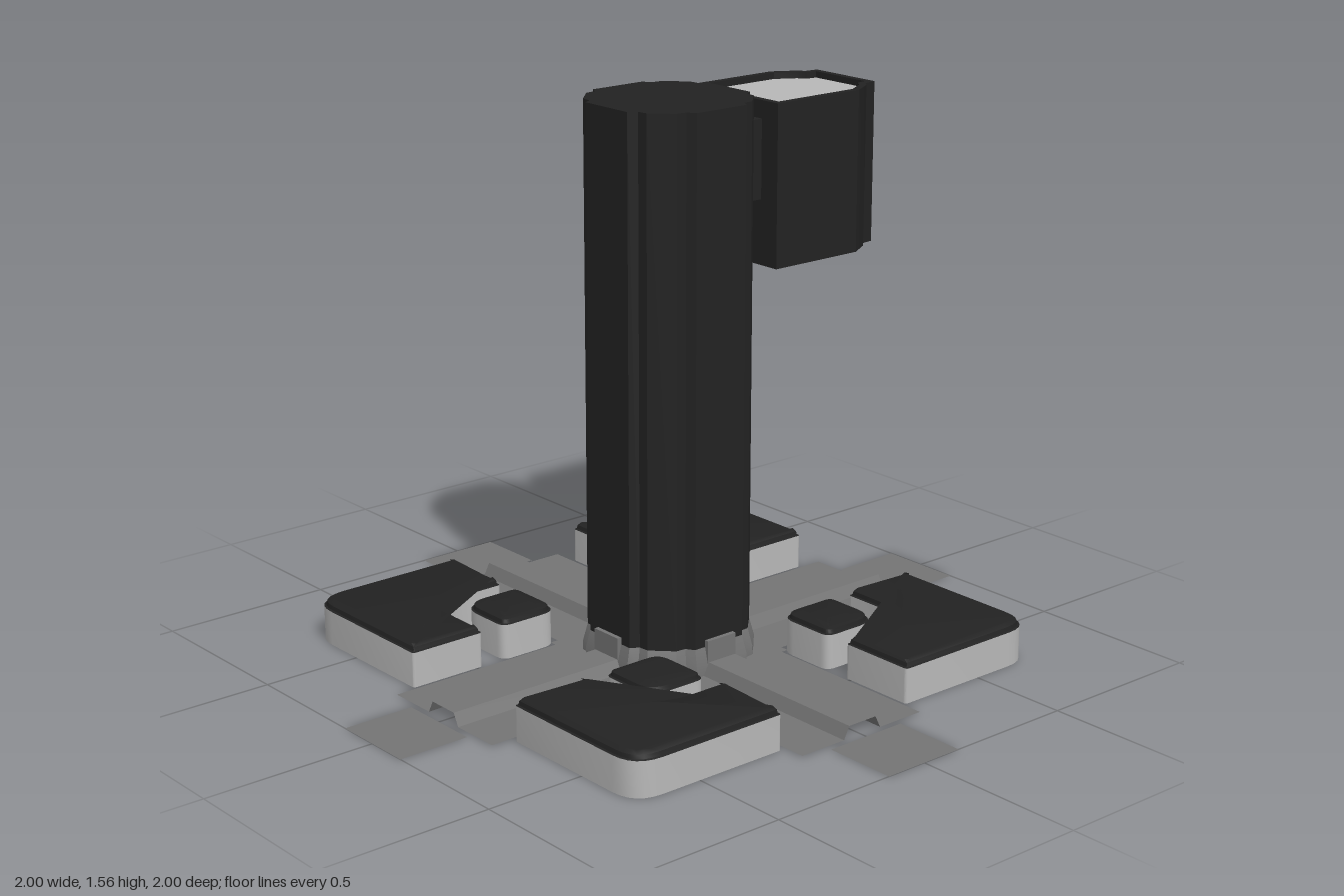
import * as THREE from 'three';
import { toCreasedNormals } from 'three/addons/utils/BufferGeometryUtils.js';

const mat = (name, color) => {
  const m = new THREE.MeshStandardMaterial({ color, side: THREE.DoubleSide });
  m.name = name;
  return m;
};

// Plan outline [x, z] from corners [x, z, radius]
function rounded(corners) {
  const out = [];
  corners.forEach(([x, z, r = 0], i) => {
    if (!r) { out.push([x, z]); return; }
    const c = new THREE.Vector2(x, z);
    const toward = (k) => {
      const [px, pz] = corners[(k + corners.length) % corners.length];
      return new THREE.Vector2(px, pz).sub(c).setLength(r).add(c);
    };
    const curve = new THREE.QuadraticBezierCurve(toward(i - 1), c, toward(i + 1));
    curve.getPoints(6).forEach((p) => out.push([p.x, p.y]));
  });
  return out;
}

// Shrink an outline by mitring each corner
function inset(pts, d) {
  const n = pts.length;
  const normal = (a, b) => new THREE.Vector2(a[1] - b[1], b[0] - a[0]).normalize();
  return pts.map((p, i) => {
    const a = normal(pts[(i + n - 1) % n], p), b = normal(p, pts[(i + 1) % n]);
    const k = d / (1 + a.dot(b));
    return [p[0] + (a.x + b.x) * k, p[1] + (a.y + b.y) * k];
  });
}

const level = (pts, y) => pts.map(([x, z]) => [x, y, z]);

function fromTriangles(pos) {
  const g = new THREE.BufferGeometry();
  g.setAttribute('position', new THREE.Float32BufferAttribute(pos, 3));
  return toCreasedNormals(g, 0.5);
}

// Skin between successive rings, optionally capped at top and bottom
function loft(rings, { closed = true, top = false, bottom = false } = {}) {
  const pos = [];
  for (let k = 0; k + 1 < rings.length; k++) {
    const a = rings[k], b = rings[k + 1], n = a.length;
    for (let i = 0; i < (closed ? n : n - 1); i++) {
      const j = (i + 1) % n;
      pos.push(...a[i], ...b[j], ...a[j], ...a[i], ...b[i], ...b[j]);
    }
  }
  const cap = (ring, up) => {
    const flat = ring.map((p) => new THREE.Vector2(p[0], p[2]));
    for (const [a, b, c] of THREE.ShapeUtils.triangulateShape(flat, [])) {
      pos.push(...ring[a], ...ring[up ? c : b], ...ring[up ? b : c]);
    }
  };
  if (top) cap(rings[rings.length - 1], true);
  if (bottom) cap(rings[0], false);
  return fromTriangles(pos);
}

export function createModel() {
  const black = mat('black', 0x222222);
  const grey = mat('road grey', 0x747474);
  const light = mat('light grey', 0xb8b8b8);
  const model = new THREE.Group();
  model.name = 'columnAtCrossroads';

  const add = (parent, name, geometry, material) => {
    const mesh = new THREE.Mesh(geometry, material);
    mesh.name = name;
    parent.add(mesh);
    return mesh;
  };

  // Fluted column: one quarter outline turned four times
  const quarter = [[0.212, -0.085], [0.212, 0.085], [0.188, 0.1], [0.185, 0.13], [0.13, 0.185], [0.1, 0.188]];
  const section = [];
  for (let q = 0; q < 4; q++) {
    const c = Math.round(Math.cos(q * Math.PI / 2)), s = Math.round(Math.sin(q * Math.PI / 2));
    quarter.forEach(([x, z]) => section.push([x * c - z * s, x * s + z * c]));
  }
  add(model, 'column', loft([level(section, 0.08), level(section, 1.56)], { top: true }), black);

  // Collar at the column foot
  const foot = section.map(([x, z]) => [x * 1.06, z * 1.06]);
  add(model, 'collar', loft([level(foot, 0.002), level(foot, 0.03), level(section, 0.08)]), grey);

  // Crossing floor with an opening under the column
  const floor = new THREE.Shape([[-1, -1], [1, -1], [1, 1], [-1, 1]].map(([x, z]) => new THREE.Vector2(x * 0.235, z * 0.235)));
  floor.holes.push(new THREE.Path(foot.map(([x, z]) => new THREE.Vector2(x, z))));
  add(model, 'crossingFloor', new THREE.ShapeGeometry(floor).rotateX(-Math.PI / 2).translate(0, 0.002, 0), grey);

  // Road arm: thin sheet with a raised centre ridge
  const profile = [[-0.212, 0.003], [-0.065, 0.003], [-0.047, 0.038], [0.047, 0.038], [0.065, 0.003], [0.212, 0.003]];
  const across = (z) => profile.map(([x, y]) => [x, y, z]);
  const armGeo = loft([across(0.775), across(0.215)], { closed: false });
  const stepGeo = new THREE.BoxGeometry(0.1, 0.07, 0.03).translate(0, 0.065, 0.21);
  const plateGeo = new THREE.PlaneGeometry(0.25, 0.21).rotateX(-Math.PI / 2).translate(0, 0, 0.895);

  // Corner blocks: open-bottomed shells with bevelled black tops
  const cornerOutline = rounded([
    [0.48, 0.225, 0.01], [0.71, 0.225, 0.01], [0.71, 0.71, 0.09],
    [0.225, 0.71, 0.01], [0.225, 0.48, 0.01], [0.48, 0.48, 0.14],
  ]);
  const smallOutline = rounded([[0.222, 0.222, 0.05], [0.41, 0.222, 0.03], [0.41, 0.41, 0.07], [0.222, 0.41, 0.03]]);
  const wall = (o) => loft([level(o, 0), level(o, 0.1)]);
  const lid = (o, d) => loft([
    level(o, 0.1), level(inset(o, 0.006), 0.102), level(inset(o, 0.009), 0.113), level(inset(o, d), 0.12),
  ], { top: true });
  const cornerWall = wall(cornerOutline), cornerTop = lid(cornerOutline, 0.022);
  const smallWall = wall(smallOutline), smallTop = lid(smallOutline, 0.035);

  for (let q = 0; q < 4; q++) {
    const side = new THREE.Group();
    side.name = 'roadQuarter';
    side.rotation.y = q * Math.PI / 2;
    add(side, 'roadArm', armGeo, grey);
    add(side, 'ridgeStep', stepGeo, grey);
    add(side, 'endPlate', plateGeo, grey);
    add(side, 'cornerBlockWall', cornerWall, light);
    add(side, 'cornerBlockTop', cornerTop, black);
    add(side, 'smallBlockWall', smallWall, light);
    add(side, 'smallBlockTop', smallTop, black);
    model.add(side);
  }

  // Box hung behind the column, with a rim and a recessed panel on top
  const half = [[0.115, -0.645], [0.12, -0.605], [0.14, -0.59], [0.178, -0.525], [0.178, -0.228]];
  const boxOutline = [...half, ...half.slice().reverse().map(([x, z]) => [-x, z])];
  const rim = inset(boxOutline, 0.02);
  add(model, 'hangingBox', loft([
    level(boxOutline, 1.088), level(boxOutline, 1.54), level(rim, 1.54), level(rim, 1.52),
  ], { bottom: true }), black);
  add(model, 'boxTopPanel', loft([level(rim, 1.519), level(rim, 1.522)], { top: true }), light);
  add(model, 'bracket', new THREE.BoxGeometry(0.23, 0.22, 0.06).translate(0, 1.38, -0.21), black);

  return model;
}
